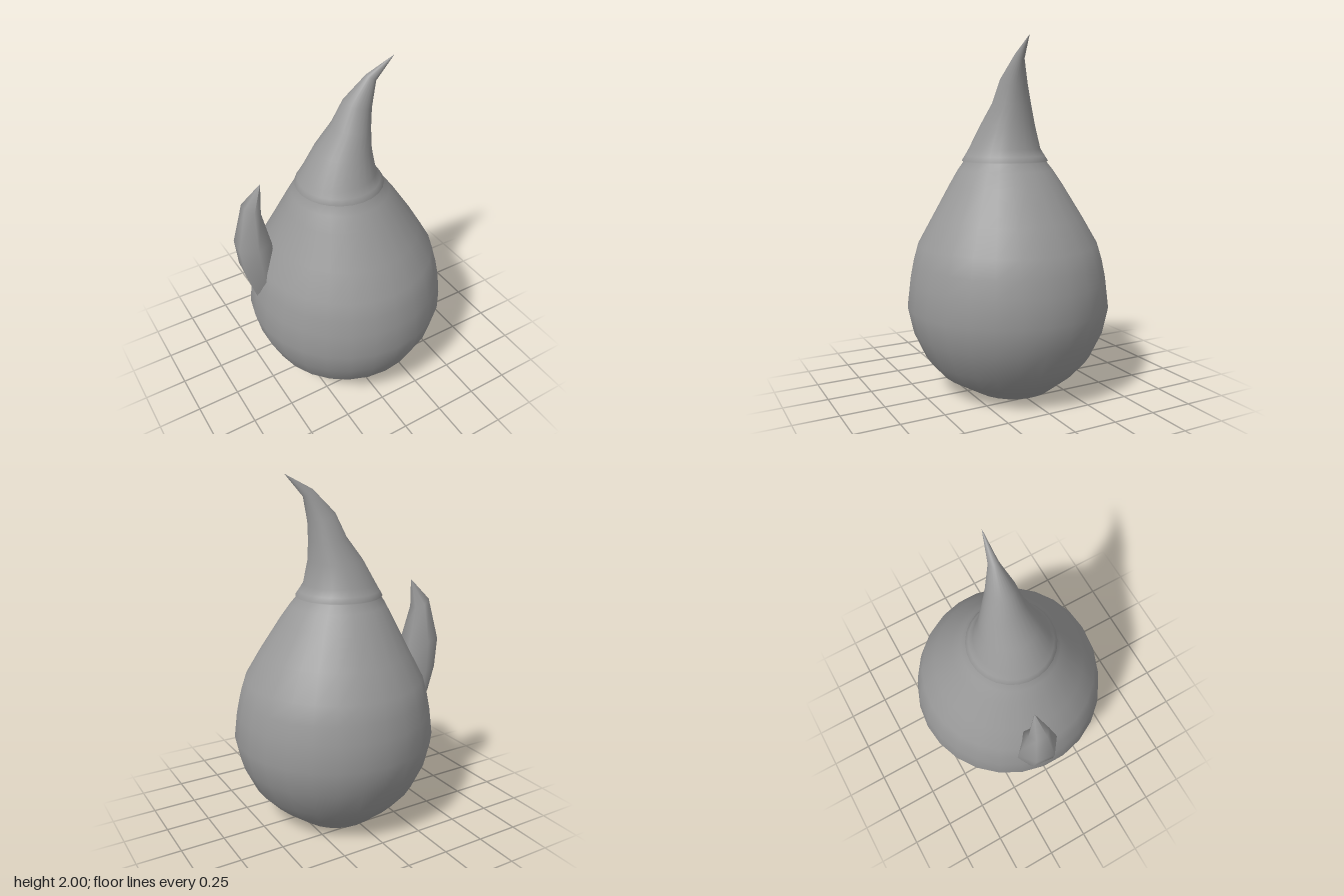
import * as THREE from 'three';

// Smooth skin through rings given as [y, cx, cz, rx, rz, tilt]; tilt lowers the +x side of a ring.
function loft(rings, sides, turn = 0) {
  const pos = [], index = [];
  for (const [y, cx, cz, rx, rz = rx, tilt = 0] of rings) {
    for (let i = 0; i < sides; i++) {
      const a = turn + (i / sides) * Math.PI * 2;
      const dx = rx * Math.sin(a);
      pos.push(cx + dx, y - tilt * dx, cz + rz * Math.cos(a));
    }
  }
  for (let j = 0; j < rings.length - 1; j++) {
    for (let i = 0; i < sides; i++) {
      const a = j * sides + i, b = j * sides + (i + 1) % sides;
      index.push(a, b, b + sides, a, b + sides, a + sides);
    }
  }
  const geo = new THREE.BufferGeometry();
  geo.setAttribute('position', new THREE.Float32BufferAttribute(pos, 3));
  geo.setIndex(index);
  geo.computeVertexNormals();
  return geo;
}

export function createModel() {
  const group = new THREE.Group();
  // Double sided: the body is a hollow skin, open at the bottom
  const material = new THREE.MeshStandardMaterial({ color: 0x999999, side: THREE.DoubleSide });
  const add = (name, geo) => {
    const mesh = new THREE.Mesh(geo, material);
    mesh.name = name;
    group.add(mesh);
  };

  // Drop-shaped body with a slight lip below the hooked tip
  add('body', loft([
    [0, 0.03, -0.03, 0.235],
    [0.11, 0.024, 0, 0.392],
    [0.21, 0.028, 0, 0.48],
    [0.36, 0.03, 0, 0.55],
    [0.51, 0.029, 0, 0.583],
    [0.66, 0.029, 0, 0.565],
    [0.76, 0.028, 0, 0.545],
    [0.86, 0.025, 0, 0.516],
    [1.01, 0.02, 0, 0.432],
    [1.2, 0.005, 0, 0.322],
    [1.28, -0.004, 0, 0.272],
    [1.325, -0.008, 0, 0.238],
    [1.332, -0.009, 0, 0.247],
    [1.36, -0.01, 0, 0.229],
    [1.4, -0.012, 0, 0.205],
    [1.53, 0.016, -0.004, 0.156],
    [1.65, 0.066, -0.004, 0.106, 0.11, 0.1],
    [1.77, 0.1, 0.002, 0.077, 0.077, 0.3],
    [1.9, 0.177, 0.008, 0.028, 0.026, 0.7],
    [2, 0.305, 0.022, 0.001],
  ], 26));

  // Small curved side spike, its foot flaring into the body
  add('sideSpike', loft([
    [0.62, -0.45, -0.1, 0.07, 0.1],
    [0.72, -0.472, -0.1, 0.082, 0.115],
    [0.86, -0.495, -0.1, 0.102, 0.12],
    [1.03, -0.507, -0.105, 0.108, 0.108],
    [1.25, -0.497, -0.11, 0.05, 0.06, 0.6],
    [1.39, -0.436, -0.105, 0.002],
  ], 6, -1.17));

  return group;
}
